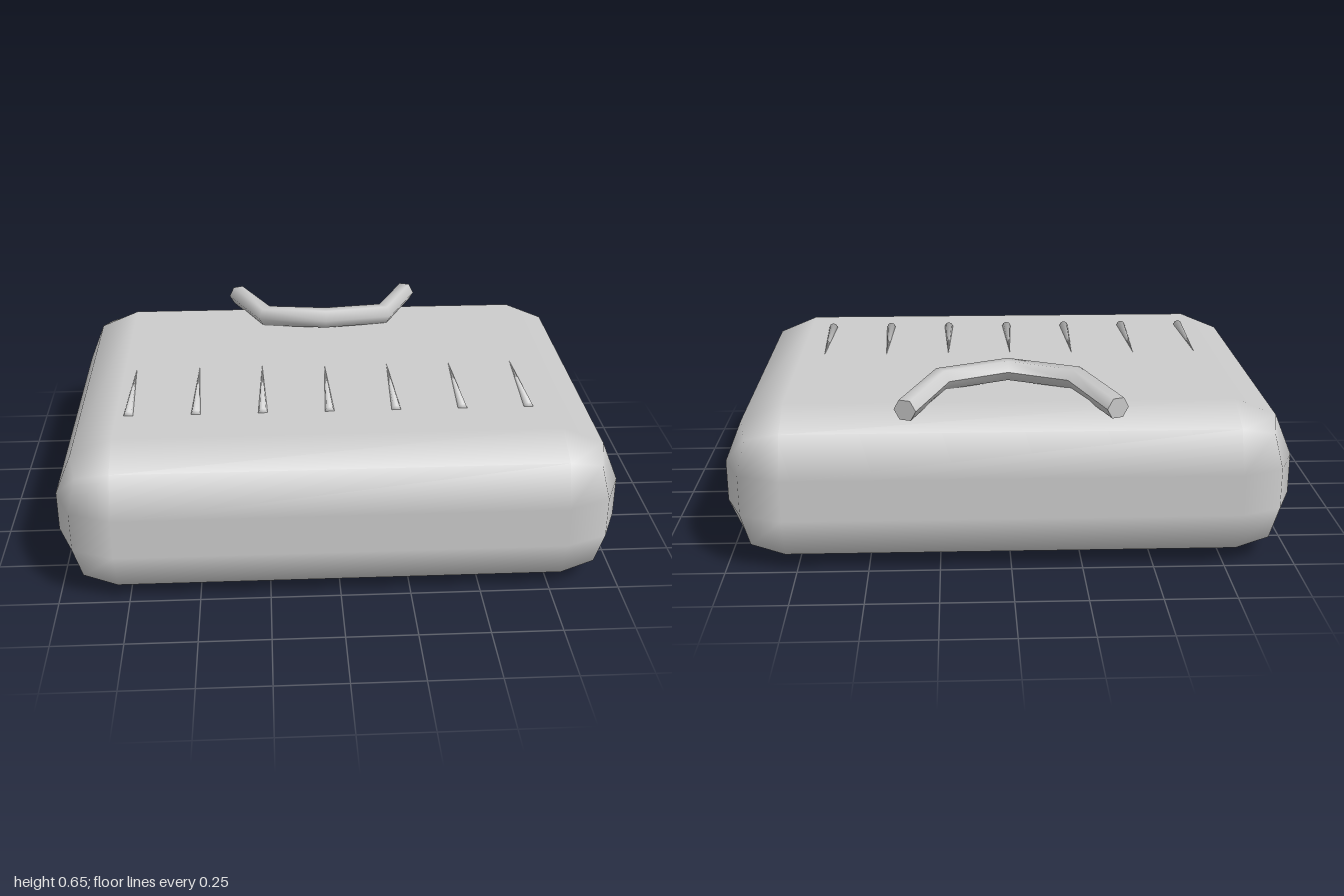
import * as THREE from 'three';
import { RoundedBoxGeometry } from 'three/addons/geometries/RoundedBoxGeometry.js';

// Sweep a six-sided bar along a mostly horizontal path, with mitred bends
function sweptBar(points, radius) {
  const last = points.length - 1;
  const geo = new THREE.CylinderGeometry(1, 1, 1, 6, last);
  const up = new THREE.Vector3(0, 1, 0);
  const rings = points.map((p, i) => {
    const before = p.clone().sub(points[Math.max(i - 1, 0)]).normalize();
    const after = points[Math.min(i + 1, last)].clone().sub(p).normalize();
    const tangent = before.clone().add(after).normalize();
    const leg = i === 0 ? after : before;
    const stretch = 1 / tangent.dot(leg);
    const side = new THREE.Vector3().crossVectors(up, tangent).normalize();
    return { p, side, rise: new THREE.Vector3().crossVectors(tangent, side), stretch };
  });
  const pos = geo.attributes.position;
  for (let i = 0; i < pos.count; i++) {
    const { p, side, rise, stretch } = rings[Math.round((pos.getY(i) + 0.5) * last)];
    const v = p.clone()
      .addScaledVector(side, pos.getZ(i) * radius * stretch)
      .addScaledVector(rise, pos.getX(i) * radius);
    pos.setXYZ(i, v.x, v.y, v.z);
  }
  geo.computeVertexNormals();
  return geo;
}

// Tapered ridge with its base edge shaded softly into the end cap
function ridgeGeometry(radius, length) {
  const geo = new THREE.ConeGeometry(radius, length, 8);
  const { position, normal } = geo.attributes;
  const n = new THREE.Vector3();
  for (let i = 0; i < position.count; i++) {
    if (position.getY(i) > 0) continue;
    n.set(position.getX(i), -radius, position.getZ(i)).normalize();
    normal.setXYZ(i, n.x, n.y, n.z);
  }
  return geo.rotateX(-Math.PI / 2);
}

export function createModel() {
  const model = new THREE.Group();
  const grey = new THREE.MeshStandardMaterial({ color: 0xcccccc });
  grey.name = 'light grey';

  const add = (name, geo, x = 0, y = 0, z = 0) => {
    const mesh = new THREE.Mesh(geo, grey);
    mesh.name = name;
    mesh.position.set(x, y, z);
    model.add(mesh);
  };

  // Rounded block with two-step bevels
  add('body', new RoundedBoxGeometry(2, 0.566, 1.59, 1, 0.21), 0, 0.283, 0);

  // Bent handle lying on the top near the back
  const path = [
    [-0.362, 0.582, -0.72], [-0.242, 0.6, -0.427], [0, 0.614, -0.36],
    [0.242, 0.6, -0.427], [0.362, 0.582, -0.72],
  ].map((p) => new THREE.Vector3(...p));
  add('handle', sweptBar(path, 0.041));

  // Row of pointed ridges on the top
  const ridge = ridgeGeometry(0.017, 0.41);
  for (let i = 0; i < 7; i++) add('ridge' + (i + 1), ridge, -0.746 + i * 0.241, 0.567, 0.205);

  return model;
}
